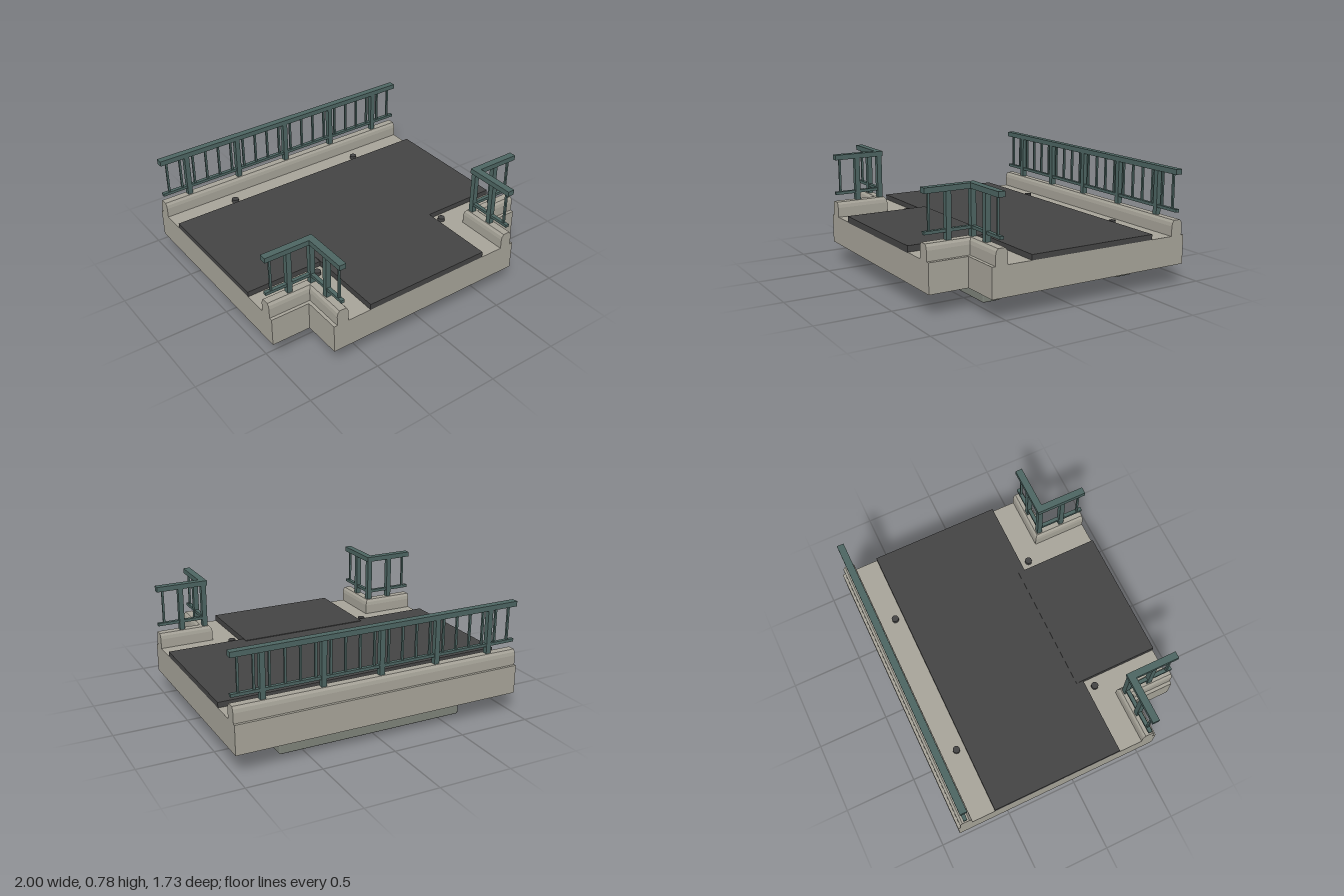
import * as THREE from 'three';
import { RoundedBoxGeometry } from 'three/addons/geometries/RoundedBoxGeometry.js';

const material = (name, color) => {
  const m = new THREE.MeshStandardMaterial({ color });
  m.name = name;
  return m;
};

// Sweeps a convex, counter-clockwise profile [side, y] along a flat path [x, z] with mitred corners.
function sweep(path, profile) {
  const normals = path.slice(1).map(([x, z], i) => {
    const d = new THREE.Vector2(x - path[i][0], z - path[i][1]).normalize();
    return new THREE.Vector2(-d.y, d.x);
  });
  const rings = path.map(([x, z], i) => {
    const a = normals[Math.max(i - 1, 0)];
    const b = normals[Math.min(i, normals.length - 1)];
    const n = a.clone().add(b).divideScalar(1 + a.dot(b));
    return profile.map(([u, y]) => [x + n.x * u, y, z + n.y * u]);
  });
  const pos = [];
  const tri = (...points) => points.forEach((p) => pos.push(...p));
  const count = profile.length;
  for (let i = 0; i < rings.length - 1; i++) {
    for (let j = 0; j < count; j++) {
      const k = (j + 1) % count;
      const [a, b, c, d] = [rings[i][j], rings[i][k], rings[i + 1][k], rings[i + 1][j]];
      tri(a, d, c);
      tri(a, c, b);
    }
  }
  const first = rings[0], last = rings[rings.length - 1];
  for (let j = 1; j < count - 1; j++) {
    tri(first[0], first[j], first[j + 1]);
    tri(last[0], last[j + 1], last[j]);
  }
  const geometry = new THREE.BufferGeometry();
  geometry.setAttribute('position', new THREE.Float32BufferAttribute(pos, 3));
  geometry.computeVertexNormals();
  return geometry;
}

const rectangle = (w, y0, y1) => [[-w / 2, y0], [w / 2, y0], [w / 2, y1], [-w / 2, y1]];

export function createModel() {
  const concrete = material('concrete', 0xa6a398);
  const beamConcrete = material('darkConcrete', 0x7d8279);
  const asphalt = material('asphalt', 0x444444);
  const paintedSteel = material('paintedSteel', 0x4c6461);

  const model = new THREE.Group();
  model.name = 'bridgeJunction';
  const add = (name, geometry, mat, x = 0, y = 0, z = 0, parent = model) => {
    const mesh = new THREE.Mesh(geometry, mat);
    mesh.name = name;
    mesh.position.set(x, y, z);
    parent.add(mesh);
    return mesh;
  };

  // T-shaped deck
  const outline = [[-1, 0.865], [-1, -0.595], [-0.73, -0.595], [-0.73, -0.865],
    [0.73, -0.865], [0.73, -0.595], [1, -0.595], [1, 0.865]];
  const shape = new THREE.Shape(outline.map(([x, y]) => new THREE.Vector2(x, y)));
  const deck = new THREE.ExtrudeGeometry(shape, { depth: 0.197, bevelEnabled: false });
  deck.rotateX(-Math.PI / 2);
  add('deckSlab', deck, concrete, 0, 0.142, 0);

  // Road surfaces; the branch laps slightly over the main road
  add('mainRoad', new THREE.BoxGeometry(2, 0.04, 0.92), asphalt, 0, 0.355, -0.14);
  add('branchRoad', new THREE.BoxGeometry(0.916, 0.045, 0.595), asphalt, 0, 0.3575, 0.5675);

  // Support beams
  for (const z of [-0.658, 0.388]) {
    add('supportBeam', new RoundedBoxGeometry(1.315, 0.16, 0.127, 2, 0.01), beamConcrete, 0, 0.08, z);
  }

  // Drain caps
  for (const x of [-0.52, 0.52]) {
    for (const z of [-0.66, 0.38]) {
      add('drainCap', new THREE.CylinderGeometry(0.024, 0.024, 0.026, 16), asphalt, x, 0.35, z);
    }
  }

  // Parapet curb with railing on top
  const curbProfile = [[-0.042, 0.335], [0.042, 0.335], [0.042, 0.405], [0.037, 0.428],
    [0.025, 0.444], [-0.025, 0.444], [-0.037, 0.428], [-0.042, 0.405]];
  function railing(name, path, posts, balusters) {
    const group = new THREE.Group();
    group.name = name;
    model.add(group);
    add('curb', sweep(path, curbProfile), concrete, 0, 0, 0, group);
    add('topRail', sweep(path, rectangle(0.048, 0.741, 0.776)), paintedSteel, 0, 0, 0, group);
    add('bottomRail', sweep(path, rectangle(0.026, 0.493, 0.513)), paintedSteel, 0, 0, 0, group);
    const post = new THREE.BoxGeometry(0.035, 0.31, 0.035);
    const baluster = new THREE.BoxGeometry(0.014, 0.24, 0.014);
    for (const [x, z] of posts) add('post', post, paintedSteel, x, 0.592, z, group);
    for (const [x, z] of balusters) add('baluster', baluster, paintedSteel, x, 0.625, z, group);
  }

  // Straight back railing
  const backZ = -0.805;
  railing('backRailing', [[-1, backZ], [1, backZ]],
    [-0.8, -0.4, 0, 0.4, 0.8].map((x) => [x, backZ]),
    Array.from({ length: 20 }, (_, i) => [-0.95 + i * 0.1, backZ]));

  // L-shaped corner railings
  const cx = 0.665, cz = 0.53;
  for (const [side, s] of [['left', 1], ['right', -1]]) {
    railing(side + 'CornerRailing', [[s, cz], [s * cx, cz], [s * cx, 0.865]],
      [[s * cx, cz], [s * 0.832, cz], [s * cx, 0.7]],
      [[s * 0.957, cz], [s * cx, 0.827]]);
  }
  return model;
}
